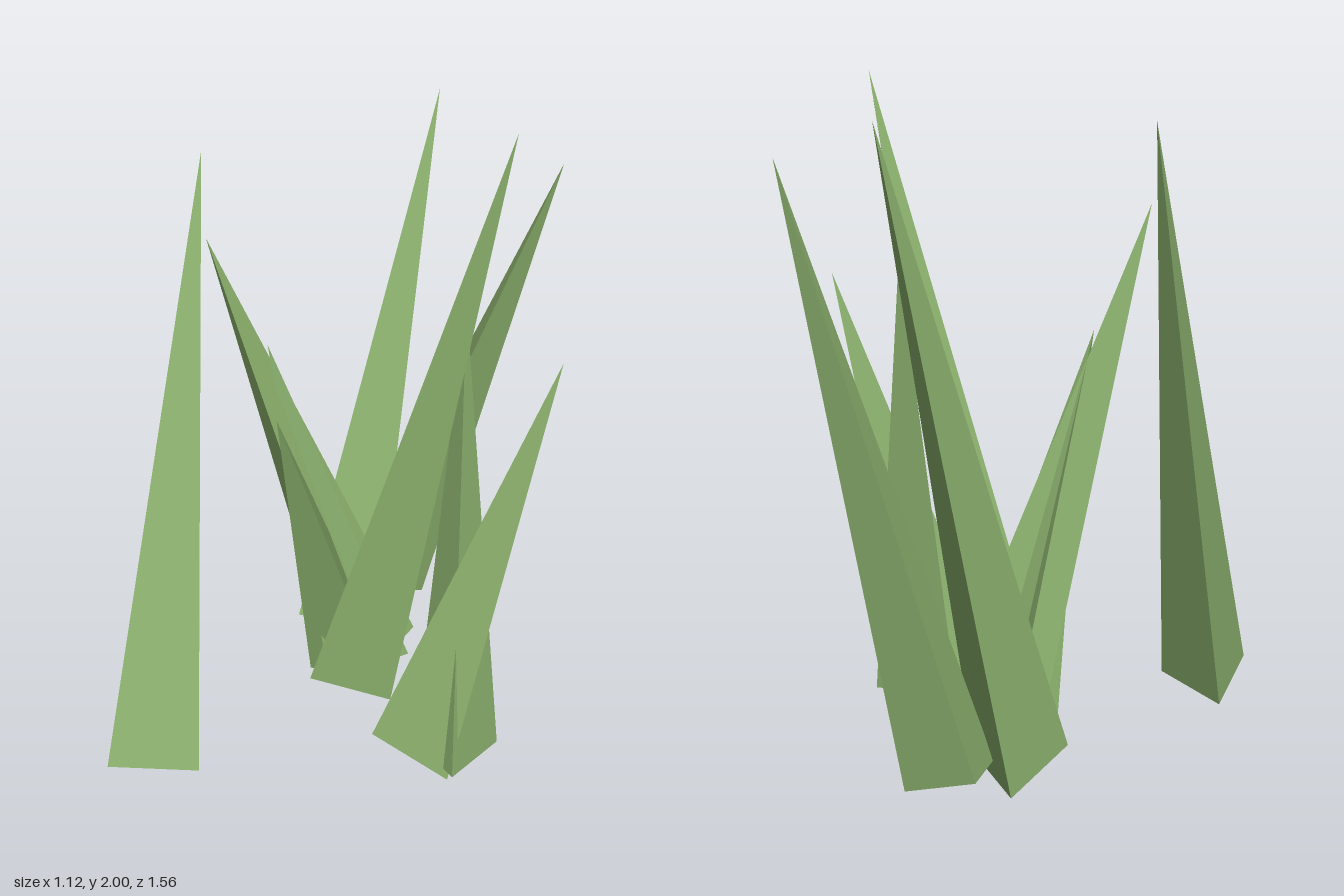
import * as THREE from 'three';

// Each blade: tip, then the three corners of its triangular base
const BLADES = [
  [[-0.53, 1.84, 0.09], [-0.53, 0.11, 0.78], [-0.565, 0.025, 0.52], [-0.31, 0.06, 0.62]],
  [[-0.48, 1.61, 0.165], [-0.04, 0.09, -0.31], [-0.09, 0.03, -0.03], [-0.31, 0.01, -0.19]],
  [[-0.36, 1.25, 0.05], [0, 0.07, -0.19], [-0.25, 0.045, -0.29], [-0.21, 0, -0.02]],
  [[-0.22, 1.12, 0.24], [-0.2, 0.09, -0.29], [-0.3, 0, -0.05], [-0.04, 0.03, -0.08]],
  [[0.39, 2, -0.02], [-0.22, 0.08, 0.09], [0.03, 0.02, 0], [-0.09, 0.04, -0.16]],
  [[0.56, 1.38, 0], [0.1, 0.095, 0.26], [0.37, 0.035, 0.28], [0.25, 0.03, 0.04]],
  [[0.21, 1.44, -0.12], [0.185, 0.025, 0.14], [0.43, 0.03, 0.04], [0.4, 0.08, 0.31]],
  [[-0.2, 1.83, -0.78], [-0.425, 0.09, -0.19], [-0.18, 0.045, -0.3], [-0.405, 0.02, -0.46]],
  [[0.32, 1.74, -0.55], [-0.415, 0.13, -0.65], [-0.31, 0.09, -0.4], [-0.15, 0.03, -0.6]],
];

// Closed three-sided spike, faces wound outwards
function spike(points) {
  let [tip, a, b, c] = points.map((p) => new THREE.Vector3(...p));
  const normal = b.clone().sub(a).cross(c.clone().sub(a));
  if (normal.dot(tip.clone().sub(a)) < 0) [b, c] = [c, b];
  const geometry = new THREE.BufferGeometry().setFromPoints([
    a, b, tip, b, c, tip, c, a, tip, a, c, b,
  ]);
  geometry.computeVertexNormals();
  return geometry;
}

export function createModel() {
  const group = new THREE.Group();
  group.name = 'grassTuft';
  const green = new THREE.MeshStandardMaterial({ color: 0x8db36f, flatShading: true });
  BLADES.forEach((points, i) => {
    const blade = new THREE.Mesh(spike(points), green);
    blade.name = `grassBlade${i + 1}`;
    group.add(blade);
  });
  return group;
}
